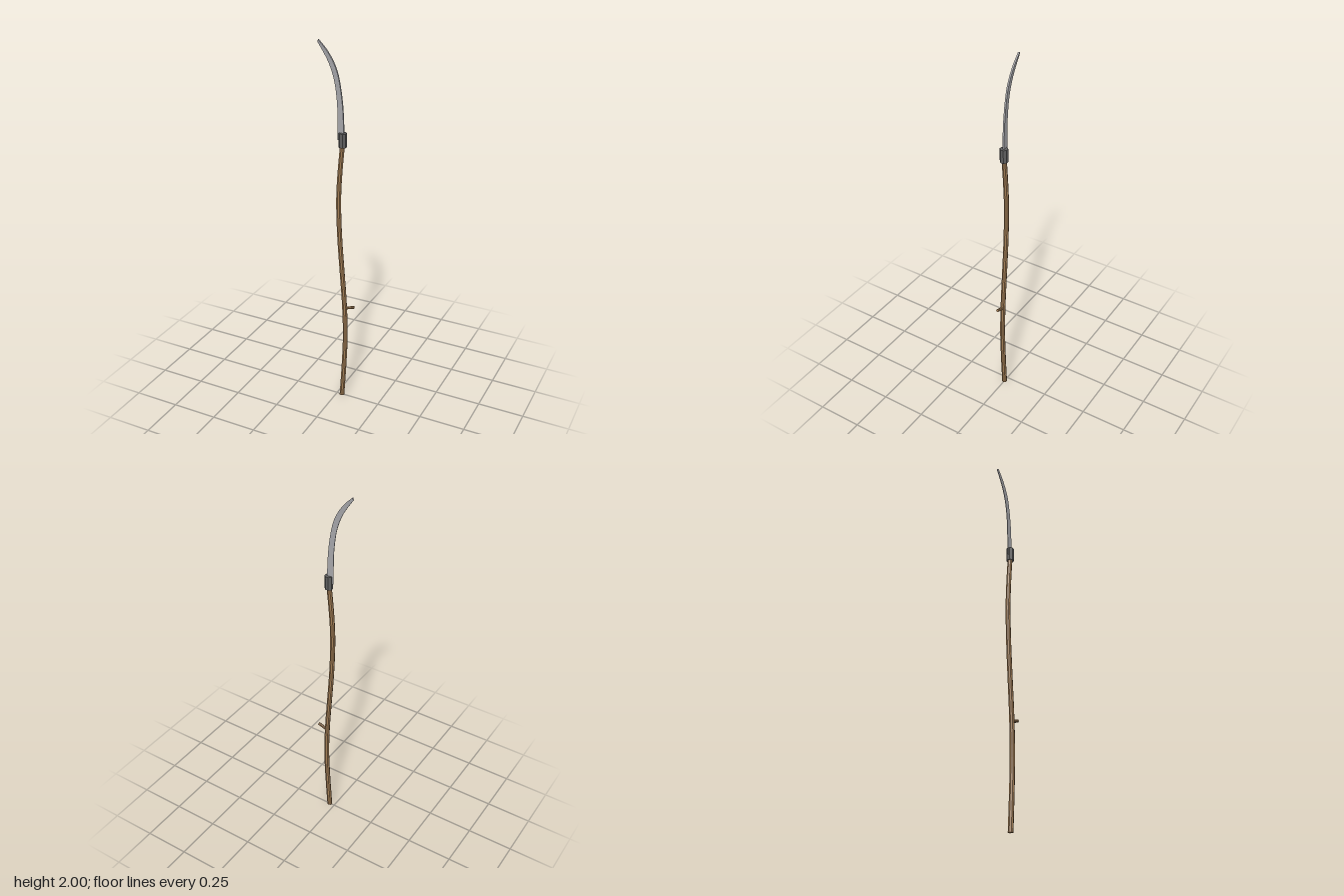
import * as THREE from 'three';

const curve = (pts) => new THREE.CatmullRomCurve3(pts.map(([x, y]) => new THREE.Vector3(x, y, 0)));

function part(name, geometry, color) {
  const mesh = new THREE.Mesh(geometry, new THREE.MeshStandardMaterial({ color, flatShading: true }));
  mesh.name = name;
  return mesh;
}

// Bent wooden pole: a cylinder whose rings follow a curve
function shaftGeometry() {
  const path = curve([[0.03, 0], [0.042, 0.2], [0.049, 0.4], [0.042, 0.6], [0.027, 0.8],
    [0.013, 1.0], [0.008, 1.2], [0.016, 1.35], [0.03, 1.5]]);
  const geo = new THREE.CylinderGeometry(0.013, 0.014, 1.5, 8, 24);
  const pos = geo.attributes.position;
  for (let i = 0; i < pos.count; i++) {
    const c = path.getPointAt(THREE.MathUtils.clamp(pos.getY(i) / 1.5 + 0.5, 0, 1));
    pos.setXYZ(i, pos.getX(i) + c.x, c.y, pos.getZ(i));
  }
  geo.computeVertexNormals();
  return geo;
}

// Curved blade: a slab stretched between spine and cutting edge
function bladeGeometry() {
  const spine = curve([[0.039, 1.51], [0.036, 1.59], [0.03, 1.69], [0.016, 1.79],
    [0, 1.856], [-0.024, 1.908], [-0.058, 1.957], [-0.1, 2.0]]);
  const edge = curve([[0.003, 1.51], [0.003, 1.59], [0, 1.69], [-0.012, 1.79],
    [-0.028, 1.85], [-0.05, 1.902], [-0.079, 1.95], [-0.105, 1.988]]);
  const geo = new THREE.BoxGeometry(1, 1, 1, 1, 21, 1);
  const pos = geo.attributes.position;
  for (let i = 0; i < pos.count; i++) {
    const t = THREE.MathUtils.clamp(pos.getY(i) + 0.5, 0, 1);
    const onSpine = pos.getX(i) > 0;
    const p = (onSpine ? spine : edge).getPoint(t);
    const thick = onSpine ? 0.009 : 0.003;
    pos.setXYZ(i, p.x, p.y, pos.getZ(i) * thick);
  }
  geo.computeVertexNormals();
  return geo;
}

export function createModel() {
  const group = new THREE.Group();
  group.name = 'warScythe';

  group.add(part('shaft', shaftGeometry(), 0xa07c54));
  group.add(part('blade', bladeGeometry(), 0xa6a6aa));

  // Iron socket joining blade and pole
  const collar = part('collar', new THREE.CylinderGeometry(0.021, 0.021, 0.073, 8), 0x606060);
  collar.rotation.y = Math.PI / 8;
  collar.position.set(0.03, 1.514, 0);
  group.add(collar);

  // Short side grip
  const peg = part('gripPeg', new THREE.CylinderGeometry(0.008, 0.008, 0.062, 8), 0xa07c54);
  peg.rotation.z = -Math.PI / 2 + 0.33;
  peg.position.set(0.07, 0.571, 0);
  group.add(peg);

  return group;
}
